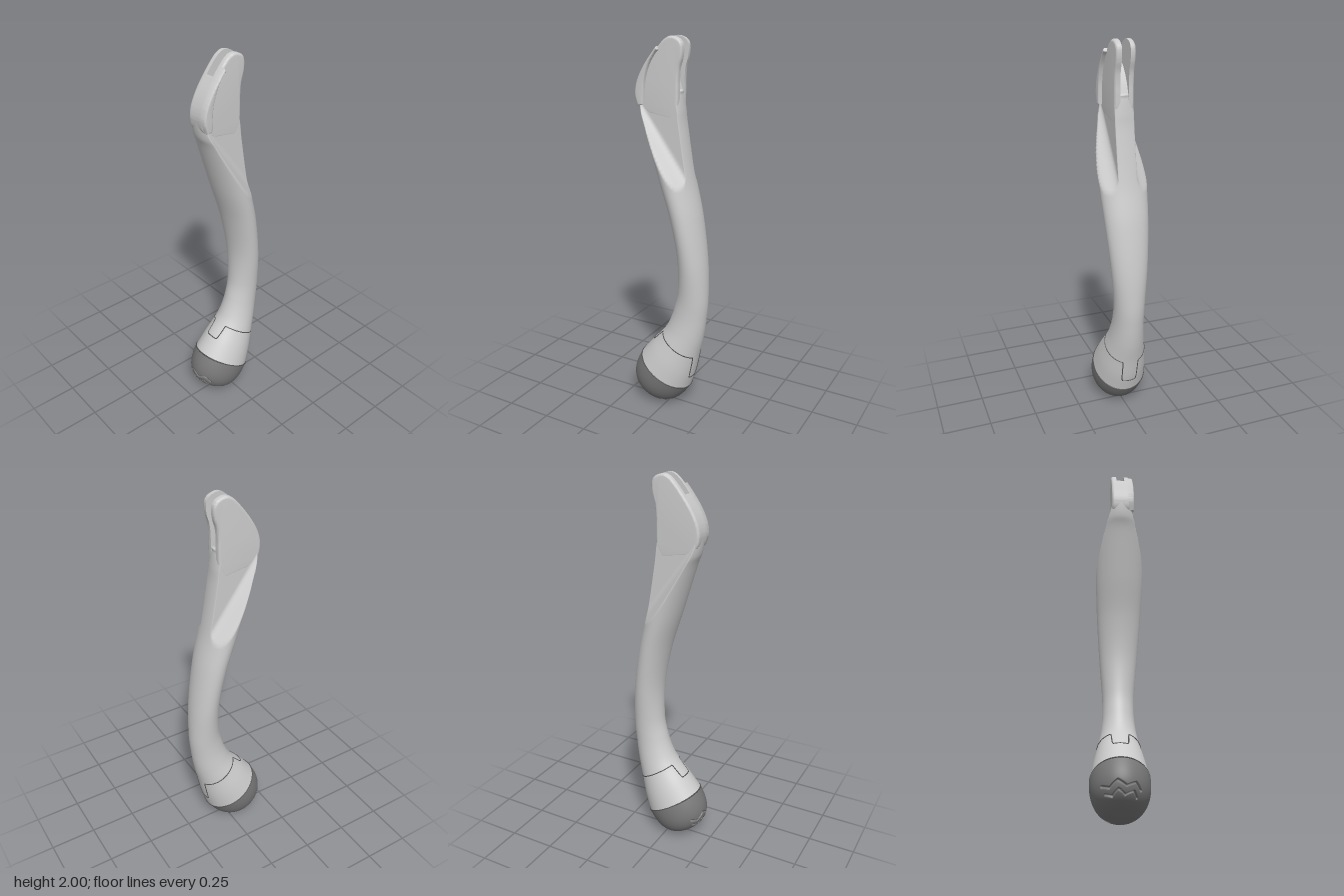
import * as THREE from 'three';
import { toCreasedNormals } from 'three/addons/utils/BufferGeometryUtils.js';

const V2 = (p) => new THREE.Vector2(p[0], p[1]);
const smooth = THREE.MathUtils.smoothstep;

// Closed rings from a rule fn(s, t), s running upwards
function loft(fn, rows, cols) {
  const pos = [], idx = [];
  for (let i = 0; i <= rows; i++)
    for (let j = 0; j < cols; j++) pos.push(...fn(i / rows, (j / cols) * Math.PI * 2).toArray());
  for (let i = 0; i < rows; i++)
    for (let j = 0; j < cols; j++) {
      const k = (j + 1) % cols, a = i * cols + j, b = i * cols + k;
      idx.push(a, a + cols, b, b, a + cols, b + cols);
    }
  const g = new THREE.BufferGeometry();
  g.setAttribute('position', new THREE.Float32BufferAttribute(pos, 3));
  g.setIndex(idx);
  g.computeVertexNormals();
  return g;
}

// Handle sections: left x, left y, right x, right y, half depth
const sections = [
  [-0.165, 0.285, 0.117, 0.116, 0.143],
  [-0.1, 0.365, 0.145, 0.21, 0.128],
  [-0.035, 0.44, 0.168, 0.315, 0.108],
  [0.0, 0.5, 0.192, 0.42, 0.092],
  [0.03, 0.585, 0.208, 0.53, 0.082],
  [0.053, 0.7, 0.217, 0.66, 0.083],
  [0.053, 0.89, 0.207, 0.86, 0.099],
  [0.015, 1.1, 0.17, 1.1, 0.116],
  [-0.05, 1.31, 0.12, 1.31, 0.127],
  [-0.125, 1.55, 0.08, 1.55, 0.135],
  [-0.157, 1.63, 0.07, 1.65, 0.12],
  [-0.17, 1.715, 0.062, 1.72, 0.1],
  [-0.163, 1.755, 0.055, 1.745, 0.07],
  [-0.13, 1.78, -0.02, 1.77, 0.03],
];
const leftEdge = new THREE.CatmullRomCurve3(sections.map((s) => new THREE.Vector3(s[0], s[1], 0)), false, 'catmullrom');
const rightEdge = new THREE.CatmullRomCurve3(sections.map((s) => new THREE.Vector3(s[2], s[3], s[4])), false, 'catmullrom');

function handlePoint(s, t) {
  const l = leftEdge.getPoint(s), r = rightEdge.getPoint(s), c = (Math.cos(t) + 1) / 2;
  const x = l.x + (r.x - l.x) * c, y = l.y + (r.y - l.y) * c;
  let z = r.z * Math.sin(t);
  // scooped flats beyond the diagonal shoulder
  if (y > 1.15) {
    const d = (x + 0.12) * -0.812 + (y - 1.65) * -0.584;
    const limit = 0.05 + 0.09 * smooth(d, 0, 0.09);
    z = THREE.MathUtils.clamp(z, -limit, limit);
  }
  return new THREE.Vector3(x, y, z);
}

// Rounded end cap with zigzag tread grooves on both sides
function capPoint(s, t) {
  const phi = (1 - s) * Math.PI / 2, e = 2 / 2.7;
  const depth = 0.19 * Math.sin(phi) ** e;
  const rad = Math.max(Math.cos(phi), 0) ** e;
  let across = 0.165 * rad * Math.cos(t), along = depth, z = 0.147 * rad * Math.sin(t);
  const zig = Math.abs(((t * 9) / Math.PI + 100.5) % 2 - 1);
  const onTread = Math.abs(Math.sin(t)) < 0.75;
  const groove = onTread && [0.4, 0.58].some((m) => Math.abs(s - m - 0.12 * (zig - 0.5)) < 0.022);
  if (groove) { across *= 0.95; along *= 0.95; z *= 0.95; }
  return new THREE.Vector3(-0.024 + across * 0.857 - along * 0.514, 0.2 - across * 0.514 - along * 0.857, z);
}

// Bevelled plate between z0 and z1, optionally flattened on one side
function plate(points, z0, z1, bevel, lo = -1, hi = 1) {
  const g = new THREE.ExtrudeGeometry(new THREE.Shape(points), {
    depth: z1 - z0 - 2 * bevel, bevelEnabled: bevel > 0, bevelThickness: bevel,
    bevelSize: bevel, bevelOffset: -bevel, bevelSegments: 4,
  });
  g.translate(0, 0, z0 + bevel);
  const p = g.attributes.position;
  for (let i = 0; i < p.count; i++) p.setZ(i, THREE.MathUtils.clamp(p.getZ(i), lo, hi));
  return toCreasedNormals(g, 0.6);
}

const spline = (pts, n) => new THREE.SplineCurve(pts.map(V2)).getPoints(n);

export function createModel() {
  const group = new THREE.Group();
  const grey = new THREE.MeshStandardMaterial({ color: 0xcccccc });
  const rubber = new THREE.MeshStandardMaterial({ color: 0x777777 });
  const dark = new THREE.MeshStandardMaterial({ color: 0x555555 });
  const add = (name, geo, mat = grey) => {
    const m = new THREE.Mesh(geo, mat);
    m.name = name;
    group.add(m);
  };

  add('handle', loft(handlePoint, 180, 120), grey);
  add('endCap', loft(capPoint, 90, 192), rubber);

  // Collar seam with a tongue on each narrow side
  const last = sections.length - 1, seam = [];
  for (let j = 0; j < 160; j++) {
    const t = (j / 160) * Math.PI * 2, off = Math.abs(Math.sin(t));
    const reach = Math.cos(t) > 0 ? 1.25 : 0.9;
    seam.push(handlePoint((2 - reach * (1 - smooth(off, 0.28, 0.42))) / last, t));
  }
  const seamCurve = new THREE.CatmullRomCurve3(seam, true);
  add('collarSeam', new THREE.TubeGeometry(seamCurve, 320, 0.003, 6, true), dark);

  // Seam between collar and cap
  const capSeam = Array.from({ length: 64 }, (_, j) => handlePoint(0, (j / 64) * Math.PI * 2));
  add('capSeam', new THREE.TubeGeometry(new THREE.CatmullRomCurve3(capSeam, true), 128, 0.004, 6, true), dark);

  // Forked head: two cheeks and a core that leaves the slot open
  const left = [[-0.05, 1.95], [-0.09, 1.9], [-0.125, 1.85], [-0.152, 1.8], [-0.167, 1.755], [-0.17, 1.71], [-0.155, 1.66], [-0.1, 1.62]];
  const outline = spline([
    [0.03, 1.6], [0.058, 1.66], [0.062, 1.735], [0.062, 1.79], [0.067, 1.85], [0.081, 1.9], [0.085, 1.94],
    [0.08, 1.97], [0.06, 1.99], [0.02, 2.0], [-0.015, 1.985], ...left,
  ], 100);
  add('frontCheek', plate(outline, 0, 0.0505, 0.012, 0.022));
  add('backCheek', plate(outline, -0.0505, 0, 0.012, -1, -0.022));
  const core = [
    ...spline([[0.03, 1.6], [0.055, 1.66], [0.06, 1.725]], 10),
    ...spline([[0.055, 1.74], [0.025, 1.81], [-0.02, 1.87], [-0.083, 1.908]], 20),
    ...spline(left.slice(1), 40),
  ];
  add('headCore', plate(core, -0.035, 0.035, 0));

  // Raised rim along the front of the head
  const rim = [
    ...spline(left.slice(0, 7), 40),
    ...spline([[-0.125, 1.665], [-0.122, 1.72], [-0.115, 1.79], [-0.093, 1.86], [-0.06, 1.915], [-0.04, 1.935]], 30),
  ];
  add('headRim', plate(rim, 0, 0.07, 0.009, 0.022));

  return group;
}
